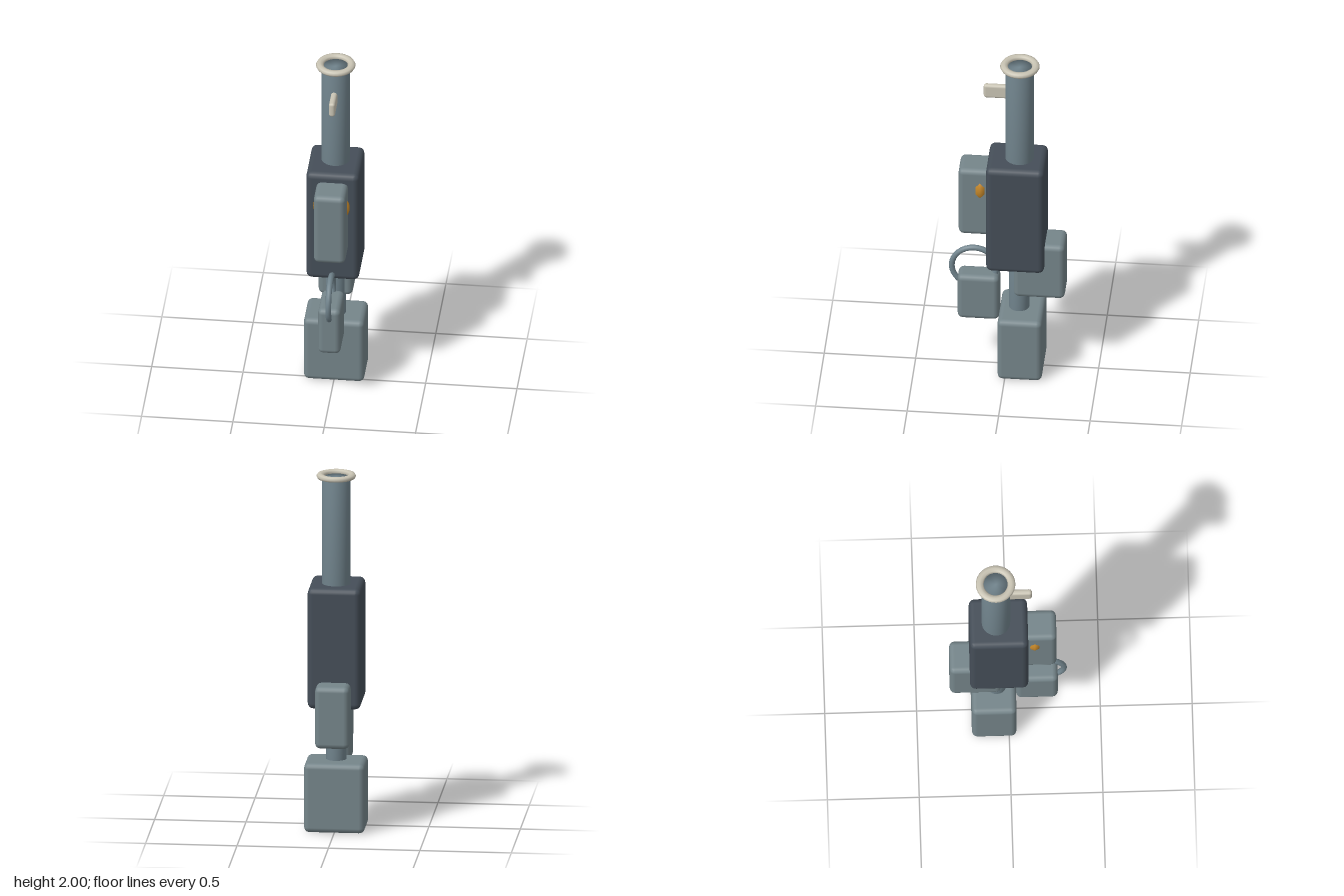
import * as THREE from 'three';
import { mergeVertices } from 'three/addons/utils/BufferGeometryUtils.js';
import { RoundedBoxGeometry } from 'three/addons/geometries/RoundedBoxGeometry.js';

const material = (name, color) => {
  const m = new THREE.MeshStandardMaterial({ color });
  m.name = name;
  return m;
};

export function createModel() {
  const group = new THREE.Group();
  const dark = material('dark steel', 0x454e58);
  const grey = material('grey green casing', 0x75858a);
  const steel = material('blue grey steel', 0x72858e);
  const cream = material('cream trim', 0xc9c4b4);
  const orange = material('orange ring', 0xc98a2b);

  const add = (name, geometry, mat, x, y, z) => {
    const mesh = new THREE.Mesh(geometry, mat);
    mesh.name = name;
    mesh.position.set(x, y, z);
    group.add(mesh);
    return mesh;
  };

  // Rounded block centred on x = 0, given by its y and z limits
  const block = (name, mat, width, y0, y1, z0, z1, radius) =>
    add(name, new RoundedBoxGeometry(width, y1 - y0, z1 - z0, 2, radius),
      mat, 0, (y0 + y1) / 2, (z0 + z1) / 2);

  // Closed cylinder whose caps share smooth normals with the side
  const rod = (name, mat, radius, y0, y1, z) => {
    let g = new THREE.CylinderGeometry(radius, radius, y1 - y0, 32);
    g.deleteAttribute('uv');
    g.deleteAttribute('normal');
    g = mergeVertices(g, 1e-4);
    g.computeVertexNormals();
    return add(name, g, mat, 0, (y0 + y1) / 2, z);
  };

  // Main body and the blocks around it
  block('body', dark, 0.29, 0.70, 1.38, -0.213, 0.105, 0.032);
  block('frontPanel', grey, 0.174, 0.90, 1.33, 0.06, 0.26, 0.03);
  block('rearMagazine', grey, 0.188, 0.505, 0.855, -0.322, -0.042, 0.03);
  block('grip', grey, 0.124, 0.32, 0.605, 0.04, 0.268, 0.03);
  block('stock', grey, 0.332, 0, 0.39, -0.203, 0.04, 0.03);

  // Barrel and stock rod
  rod('barrel', steel, 0.078, 1.33, 1.978, -0.068);
  rod('stockRod', steel, 0.056, 0.33, 0.75, -0.066);

  // Muzzle rim: a flattened ring
  const rim = new THREE.TorusGeometry(0.0865, 0.0215, 8, 32);
  rim.rotateX(Math.PI / 2);
  rim.scale(1, 0.75, 1);
  add('muzzleRim', rim, cream, 0, 1.984, -0.07);

  // Front sight
  block('frontSight', cream, 0.034, 1.77, 1.855, -0.03, 0.128, 0.015);

  // Glowing ring sunk in the front panel, showing at its sides
  add('panelRing', new THREE.TorusGeometry(0.066, 0.034, 8, 24), orange, 0, 1.2, 0.141);

  // Trigger guard ring
  const guard = add('triggerGuard', new THREE.TorusGeometry(0.122, 0.016, 8, 32), steel, 0, 0.637, 0.181);
  guard.rotation.y = Math.PI / 2;

  return group;
}
